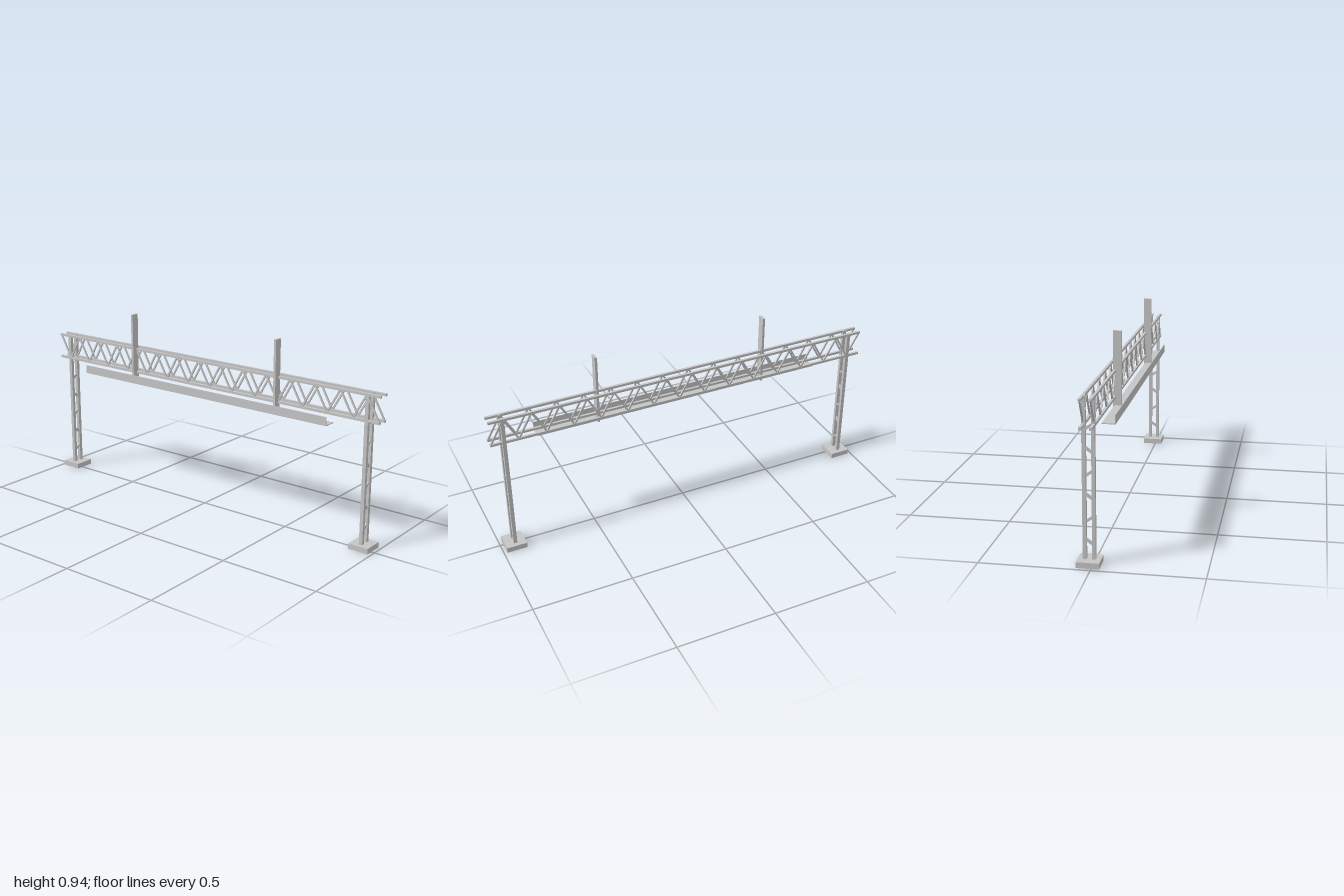
import * as THREE from 'three';

export function createModel() {
  const model = new THREE.Group();
  model.name = 'signGantry';
  const steel = new THREE.MeshStandardMaterial({ color: 0xc4c4c4 });
  steel.name = 'light grey steel';

  const box = (name, w, h, d, x, y, z, parent = model) => {
    const mesh = new THREE.Mesh(new THREE.BoxGeometry(w, h, d), steel);
    mesh.name = name;
    mesh.position.set(x, y, z);
    parent.add(mesh);
    return mesh;
  };

  // Square bar running between two points
  const bar = (name, a, b, w, d, parent) => {
    const from = new THREE.Vector3(...a), to = new THREE.Vector3(...b);
    const mid = from.clone().add(to).multiplyScalar(0.5);
    const mesh = box(name, w, from.distanceTo(to), d, mid.x, mid.y, mid.z, parent);
    mesh.quaternion.setFromUnitVectors(new THREE.Vector3(0, 1, 0), to.sub(from).normalize());
    return mesh;
  };

  // Two parallel trusses: chords with zigzag webbing
  const topY = 0.753, lowY = 0.63, panels = 29;
  for (const [side, z] of [['front', 0.008], ['back', -0.039]]) {
    const truss = new THREE.Group();
    truss.name = side + 'Truss';
    model.add(truss);
    box('topChord', 2, 0.012, 0.012, 0, topY, z, truss);
    box('bottomChord', 2, 0.012, 0.012, 0, lowY, z, truss);
    for (let i = 0; i < panels; i++) {
      const x0 = -0.997 + (1.994 * i) / panels;
      const x1 = -0.997 + (1.994 * (i + 1)) / panels;
      const down = i % 2 === 0;
      bar('webDiagonal', [x0, down ? topY : lowY, z], [x1, down ? lowY : topY, z], 0.008, 0.007, truss);
    }
  }

  for (const s of [1, -1]) {
    // Laced leg on a footing
    const leg = new THREE.Group();
    leg.name = s > 0 ? 'leftLeg' : 'rightLeg';
    model.add(leg);
    const x = s * 0.932;
    box('footing', 0.103, 0.027, 0.103, x, 0.0135, -0.016, leg);
    box('frontPost', 0.018, 0.732, 0.016, x, 0.392, 0.005, leg);
    box('backPost', 0.018, 0.732, 0.017, x, 0.392, -0.0365, leg);
    for (let i = 0; i < 6; i++) {
      const y = 0.105 + i * 0.1035;
      const tilt = i % 2 === 0 ? 0.012 : -0.012;
      bar('legLacing', [x, y - tilt, 0.002], [x, y + tilt, -0.032], 0.01, 0.012, leg);
    }

    // Upright sign post on the truss face
    box('signPost', 0.012, 0.358, 0.039, s * 0.447, 0.76, 0.0195);
  }

  // Angle-shaped catwalk: floor and front lip
  box('catwalkFloor', 1.514, 0.004, 0.062, 0, 0.587, 0.037);
  box('catwalkLip', 1.514, 0.043, 0.003, 0, 0.6065, 0.0665);

  return model;
}
